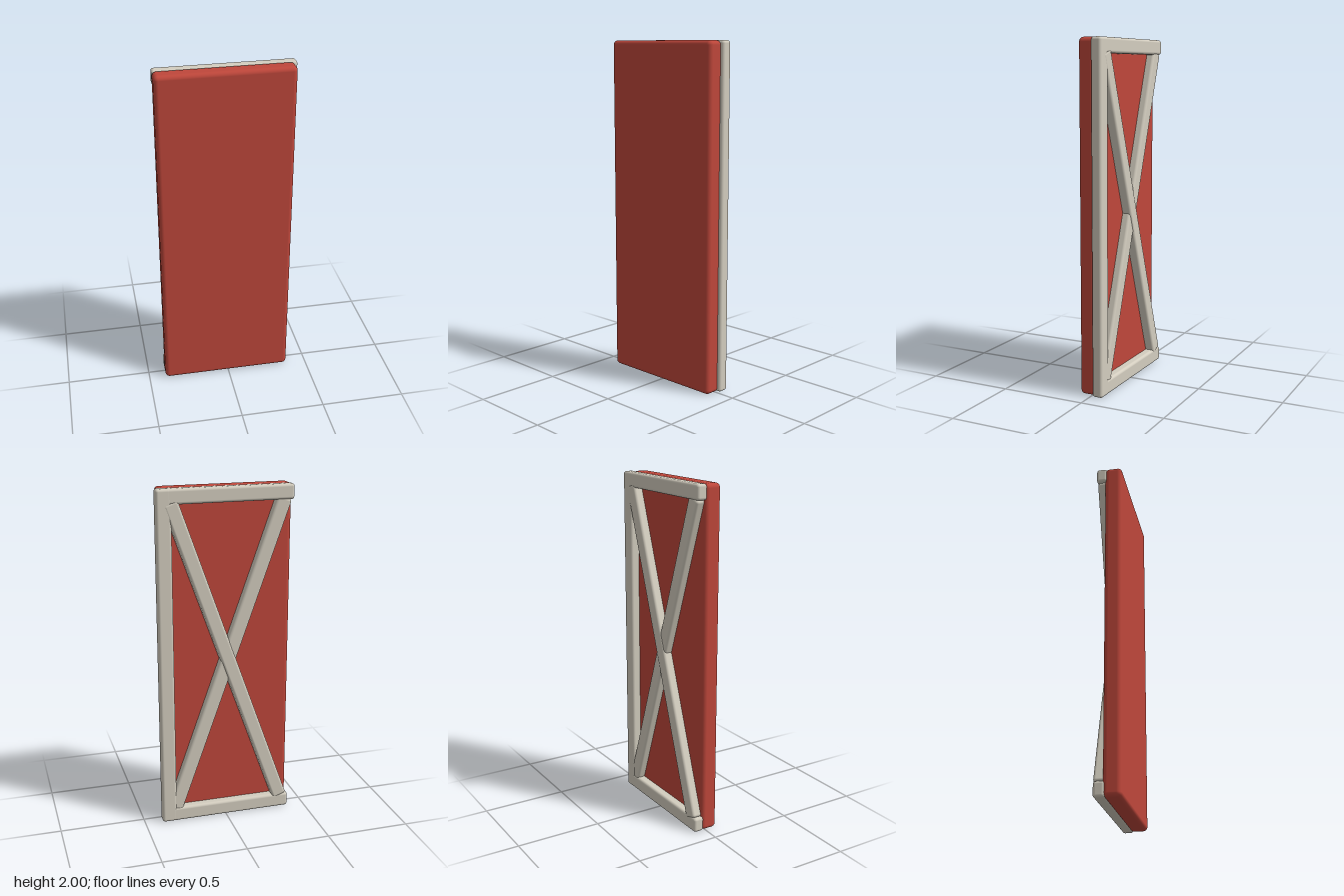
import * as THREE from 'three';
import { RoundedBoxGeometry } from 'three/addons/geometries/RoundedBoxGeometry.js';

const red = new THREE.MeshStandardMaterial({ name: 'barnRed', color: 0xbf473b });
const cream = new THREE.MeshStandardMaterial({ name: 'creamTrim', color: 0xd3cdbf });

const BAR = 0.087; // width of every trim board

export function createModel() {
  const door = new THREE.Group();
  door.name = 'barnDoor';

  // Rounded box given by its two z faces, centred on (x, y)
  function board(name, material, x, y, w, h, back, front, radius, tilt = 0) {
    const mesh = new THREE.Mesh(new RoundedBoxGeometry(w, h, front - back, 4, radius), material);
    mesh.name = name;
    mesh.position.set(x, y, (back + front) / 2);
    mesh.rotation.z = tilt;
    door.add(mesh);
  }

  // Door slab
  board('doorPanel', red, -0.011, 1, 0.776, 2, -0.024, 0.075, 0.025);

  // Upright on the left edge, standing slightly proud of the slab
  board('sidePost', cream, 0.352, 1, BAR, 2, -0.0755, -0.012, 0.016);

  // Rails across the top and bottom
  for (const [name, y] of [['topRail', 2 - BAR / 2], ['bottomRail', BAR / 2]]) {
    board(name, cream, -0.03, y, 0.736, BAR, -0.075, -0.012, 0.016);
  }

  // Crossed braces, one lying just over the other
  const dx = 0.66, dy = 1.85;
  const length = Math.hypot(dx, dy), angle = Math.atan2(dx, dy);
  board('upperBrace', cream, -0.015, 1, BAR, length, -0.077, -0.014, 0.016, -angle);
  board('lowerBrace', cream, -0.015, 1, BAR, length, -0.071, -0.012, 0.016, angle);

  return door;
}
